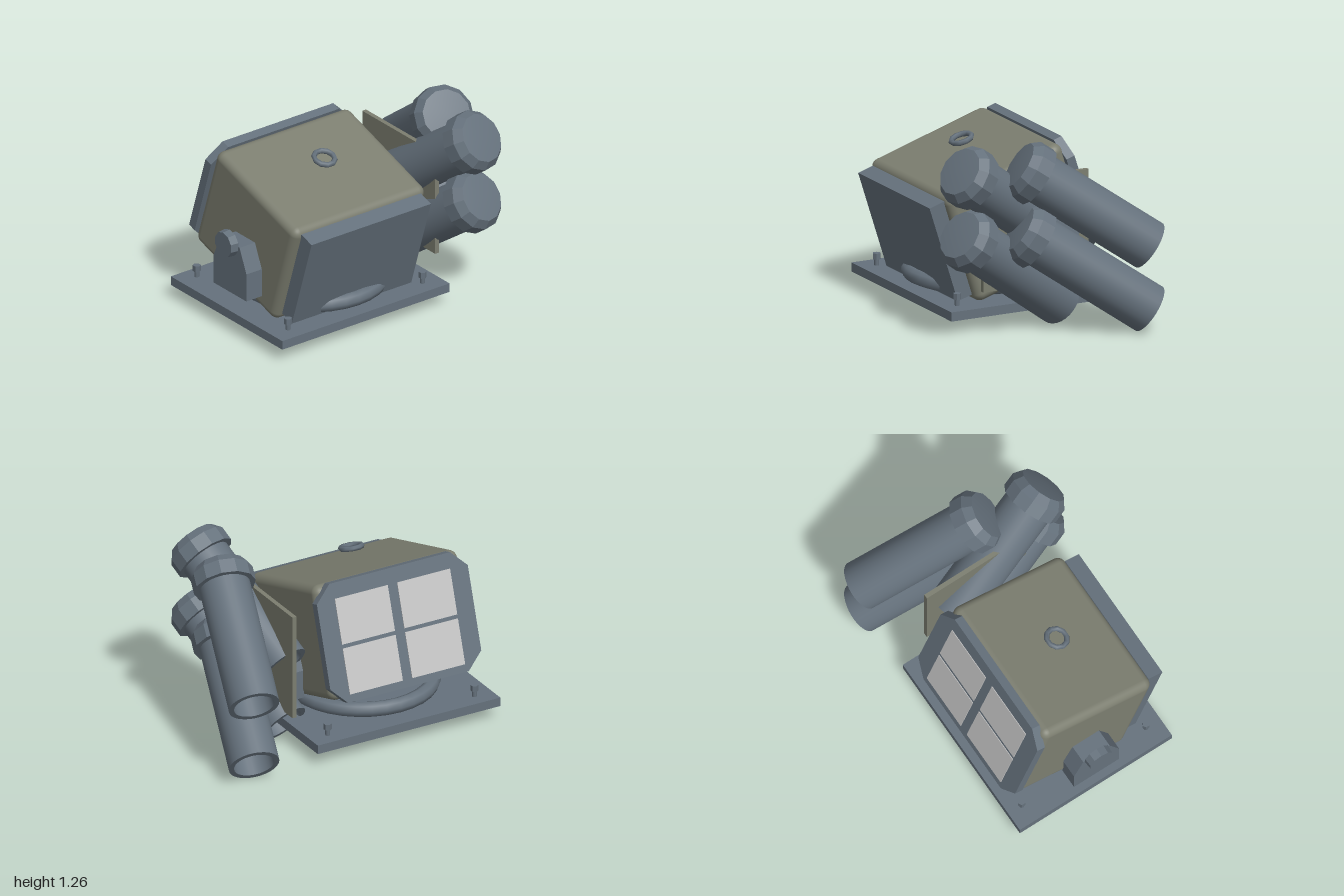
import * as THREE from 'three';
import { toCreasedNormals } from 'three/addons/utils/BufferGeometryUtils.js';
import { RoundedBoxGeometry } from 'three/addons/geometries/RoundedBoxGeometry.js';

const material = (name, color) => {
  const m = new THREE.MeshStandardMaterial({ color });
  m.name = name;
  return m;
};

export function createModel() {
  const slate = material('slate grey', 0x65717c);
  const olive = material('olive grey', 0x7c7e70);
  const pale = material('pale lens', 0xc4c4c4);
  const model = new THREE.Group();
  model.name = 'launcherTurret';
  const CX = -0.295; // centre line of the turret

  const add = (parent, name, geo, mat, x = 0, y = 0, z = 0) => {
    const mesh = new THREE.Mesh(geo, mat);
    mesh.name = name;
    mesh.position.set(x, y, z);
    parent.add(mesh);
    return mesh;
  };
  const box = (w, h, d) => new THREE.BoxGeometry(w, h, d);
  const flat = (geo) => toCreasedNormals(geo, 0.5);
  const lathe = (pts, sides) =>
    new THREE.LatheGeometry(pts.map(([r, y]) => new THREE.Vector2(r, y)), sides);

  // Base plate with corner bolts
  add(model, 'basePlate', box(1.33, 0.06, 1.15), slate, CX, 0.12, -0.015);
  for (const x of [-0.83, 0.24]) {
    for (const z of [-0.49, 0.45]) {
      add(model, 'boltShank', new THREE.CylinderGeometry(0.016, 0.016, 0.05, 8), slate, x, 0.17, z);
      add(model, 'boltHead', flat(new THREE.CylinderGeometry(0.026, 0.026, 0.04, 6)), slate, x, 0.21, z);
    }
  }

  // Turntable ring
  const ring = add(model, 'turntableRing', new THREE.TorusGeometry(0.45, 0.05, 8, 32), slate, CX, 0.205, 0);
  ring.rotation.x = Math.PI / 2;
  add(model, 'turntableDisc', flat(new THREE.CylinderGeometry(0.44, 0.44, 0.05, 32)), slate, CX, 0.17, 0);

  // Housing, leaning forward
  const housing = new THREE.Group();
  housing.name = 'housing';
  housing.position.x = CX;
  housing.rotation.x = Math.atan(0.32);
  model.add(housing);
  add(housing, 'housingBody', new RoundedBoxGeometry(1.055, 0.75, 0.87, 4, 0.055), olive, 0, 0.589, -0.195);
  add(housing, 'frontArmour', box(0.95, 0.665, 0.11), slate, 0, 0.607, 0.29);

  // Chamfered rear panel
  const w = 0.55, h = 0.387, c = 0.11;
  const outline = new THREE.Shape([
    [-w, -h + c], [-w + c, -h], [w - c, -h], [w, -h + c],
    [w, h - c], [w - c, h], [-w + c, h], [-w, h - c],
  ].map(([x, y]) => new THREE.Vector2(x, y)));
  const panel = new THREE.ExtrudeGeometry(outline, { depth: 0.06, bevelEnabled: false });
  add(housing, 'rearPanel', panel, slate, 0, 0.582, -0.675);

  // Four lens plates
  for (const sx of [-1, 1]) {
    for (const sy of [-1, 1]) {
      add(housing, 'lensPlate', box(0.385, 0.298, 0.008), pale, sx * 0.227, 0.556 + sy * 0.162, -0.676);
    }
  }

  // Raised ring on the roof
  const eye = add(housing, 'roofRing', new THREE.TorusGeometry(0.068, 0.018, 6, 10), slate, 0, 1.058, -0.2);
  eye.rotation.x = Math.PI / 2;

  // Side trunnion brackets and knobs
  const bracketShape = new THREE.Shape([
    [-0.17, 0.27], [0.17, 0.27], [0.17, 0.46], [0.1, 0.62], [-0.1, 0.62], [-0.17, 0.46],
  ].map(([x, y]) => new THREE.Vector2(x, y)));
  for (const s of [-1, 1]) {
    const side = new THREE.Group();
    side.name = s < 0 ? 'rightBracket' : 'leftBracket';
    side.position.x = CX;
    side.rotation.y = s * Math.PI / 2;
    model.add(side);
    const bracket = new THREE.ExtrudeGeometry(bracketShape, { depth: 0.13, bevelEnabled: false });
    add(side, 'bracketPlate', bracket, slate, 0, 0, 0.52);
    const knob = add(side, 'pivotKnob', flat(new THREE.CylinderGeometry(0.085, 0.09, 0.055, 10)), slate, 0, 0.62, 0.677);
    knob.rotation.x = Math.PI / 2;
  }

  // Mounting plate for the tubes
  add(model, 'tubeMountPlate', box(0.03, 0.71, 0.752), olive, 0.42, 0.625, -0.009);

  // Four launch tubes, open at the rear and capped at the front
  const tubeGeo = toCreasedNormals(lathe(
    [[0, 0.92], [0.13, 0.92], [0.13, 0], [0.163, 0], [0.163, 0.9]], 28), 0.6);
  const capGeo = toCreasedNormals(lathe(
    [[0.15, 0.87], [0.2, 0.87], [0.2, 0.965], [0.16, 1.02], [0, 1.035]], 12), 0.4);
  const columns = [
    { name: 'innerTube', start: [0.39, 0.137, -0.2], dir: [0.19, 0.568, 0.8] },
    { name: 'outerTube', start: [0.84, 0.137, -0.6], dir: [-0.22, 0.568, 0.8] },
  ];
  for (const { name, start, dir } of columns) {
    for (const lift of [0, 0.415]) {
      const tube = new THREE.Group();
      tube.name = name;
      tube.position.set(start[0], start[1] + lift, start[2]);
      tube.quaternion.setFromUnitVectors(
        new THREE.Vector3(0, 1, 0), new THREE.Vector3(...dir).normalize());
      add(tube, 'tubeBarrel', tubeGeo, slate);
      add(tube, 'tubeCap', capGeo, slate);
      model.add(tube);
    }
  }
  return model;
}
